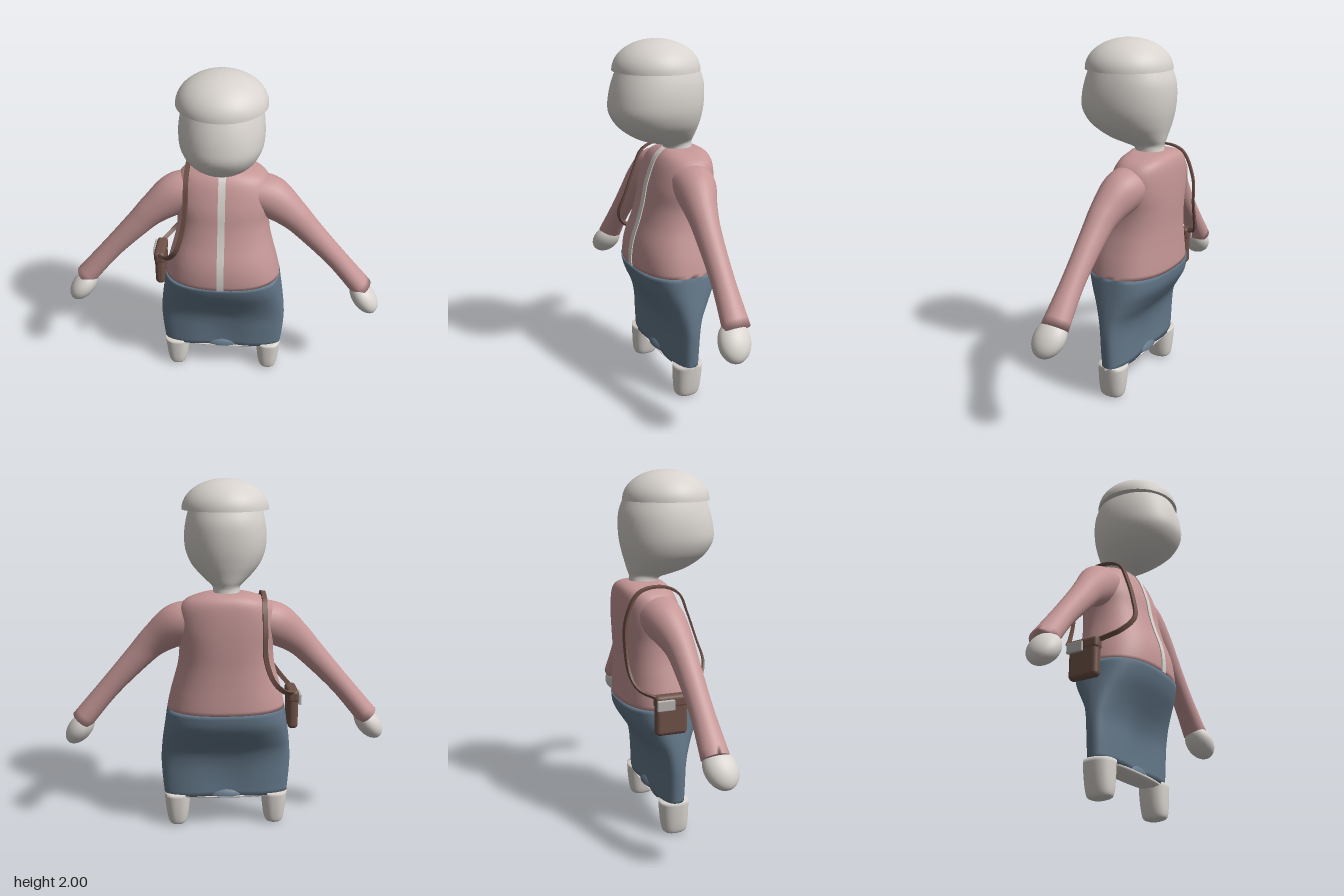
import * as THREE from 'three';
import { toCreasedNormals } from 'three/addons/utils/BufferGeometryUtils.js';
import { RoundedBoxGeometry } from 'three/addons/geometries/RoundedBoxGeometry.js';

const mat = (name, color) => {
  const m = new THREE.MeshStandardMaterial({ color });
  m.name = name;
  return m;
};

// Skin over a list of closed rings of points, with both ends capped
function loft(rings) {
  const n = rings[0].length, pos = rings.flat(2), index = [];
  for (let j = 0; j < rings.length - 1; j++) {
    for (let i = 0; i < n; i++) {
      const a = j * n + i, b = j * n + (i + 1) % n;
      index.push(a, a + n, b, b, a + n, b + n);
    }
  }
  const last = (rings.length - 1) * n;
  for (let i = 1; i < n - 1; i++) index.push(0, i, i + 1, last, last + i + 1, last + i);
  const g = new THREE.BufferGeometry();
  g.setAttribute('position', new THREE.Float32BufferAttribute(pos, 3));
  g.setIndex(index);
  g.computeVertexNormals();
  return g;
}

// Smooth sampling of rows of numbers, t counted in rows
function smoothRows(rows) {
  const f = new THREE.CubicInterpolant(rows.map((_, i) => i), rows.flat(), rows[0].length);
  return t => Array.from(f.evaluate(t));
}

// Level ring from [y, half width, front z, back z, pinch at the middle]
function levelRing([y, hx, zf, zb, pinch = 0], power = 2.3, cx = 0, n = 48) {
  const ring = [], e = 2 / power, cz = (zf + zb) / 2, hz = (zf - zb) / 2;
  for (let i = 0; i < n; i++) {
    const a = i / n * Math.PI * 2, c = Math.cos(a), s = Math.sin(a);
    const x = hx * Math.sign(c) * Math.abs(c) ** e;
    const z = hz * Math.sign(s) * Math.abs(s) ** e * (1 - pinch * Math.exp(-((x / 0.13) ** 2)));
    ring.push([cx + x, y, cz + z]);
  }
  return ring;
}

function levelRings(rows, from, to, power, cx) {
  const f = smoothRows(rows), out = [];
  for (let k = 0; k <= (to - from) * 4; k++) out.push(levelRing(f(from + k / 4), power, cx));
  return out;
}

export function createModel() {
  const group = new THREE.Group();
  const cream = mat('cream', 0xd8d3ce), pink = mat('pink', 0xc69797), blue = mat('slate blue', 0x64788a);
  const brown = mat('brown', 0x6e5147), grey = mat('clasp grey', 0xb5b1ad);
  const add = (name, geo, material) => {
    const m = new THREE.Mesh(geo, material);
    m.name = name;
    group.add(m);
    return m;
  };

  // Skirt and jacket share one body profile; the waist is row 6
  const body = [
    [0.19, 0.36, 0.045, -0.125, 0.25], [0.3, 0.37, 0.048, -0.127, 0.25], [0.4, 0.375, 0.052, -0.133, 0.15],
    [0.48, 0.371, 0.072, -0.155, 0.05], [0.56, 0.362, 0.108, -0.205, 0], [0.65, 0.348, 0.155, -0.26, 0],
    [0.735, 0.335, 0.18, -0.275, 0], [0.82, 0.317, 0.18, -0.275, 0], [0.9, 0.295, 0.165, -0.273, 0],
    [1.0, 0.27, 0.13, -0.273, 0], [1.1, 0.262, 0.102, -0.278, 0], [1.2, 0.275, 0.083, -0.28, 0],
    [1.3, 0.265, 0.05, -0.276, 0], [1.36, 0.225, 0.02, -0.265, 0], [1.39, 0.15, -0.01, -0.24, 0],
    [1.402, 0.08, -0.03, -0.2, 0],
  ];
  add('skirt', loft(levelRings(body, 0, 6, 2.6)), blue);
  add('jacket', loft(levelRings(body, 6, 15, 2.35)), pink);

  // Rounded bulge at the middle of the hem, and the pale underside
  const bulge = new THREE.SphereGeometry(1, 32, 10, 0, Math.PI * 2, 0, Math.PI / 2);
  bulge.scale(0.15, 0.06, 0.084).translate(0, 0.19, -0.04);
  add('hemBulge', bulge, blue);
  add('underside', loft([[0.168, 0.25, 0.01, -0.09], [0.18, 0.32, 0.035, -0.115], [0.191, 0.352, 0.041, -0.121]]
    .map(r => levelRing(r, 2.6))), cream);

  // Zip strip following the jacket front
  const bodyAt = smoothRows(body), zip = [];
  for (let t = 6; t <= 15; t += 0.25) {
    const [y, , z] = bodyAt(t), w = 0.02;
    zip.push([[w, y, z - 0.004], [w, y, z + 0.005], [-w, y, z + 0.005], [-w, y, z - 0.004]]);
  }
  add('zip', toCreasedNormals(loft(zip), 0.7), cream);

  // Head with neck
  const head = [
    [1.37, 0.078, -0.03, -0.2], [1.415, 0.072, -0.025, -0.192], [1.437, 0.083, 0.05, -0.195],
    [1.46, 0.112, 0.125, -0.203], [1.5, 0.155, 0.195, -0.213], [1.55, 0.195, 0.25, -0.226],
    [1.62, 0.222, 0.286, -0.24], [1.7, 0.227, 0.282, -0.246], [1.78, 0.217, 0.262, -0.24],
    [1.86, 0.195, 0.23, -0.21],
  ];
  add('head', loft(levelRings(head, 0, 9, 2.15)), cream);

  // Domed cap with a flat underside
  const dome = [new THREE.Vector2(0, 1.833)];
  for (let i = 0; i <= 16; i++) {
    const a = i / 16 * Math.PI / 2;
    dome.push(new THREE.Vector2(0.24 * Math.cos(a), 1.835 + 0.165 * Math.sin(a)));
  }
  const cap = toCreasedNormals(new THREE.LatheGeometry(dome, 48), 0.8);
  add('cap', cap.translate(0, 0, 0.02), cream);

  // Sleeve rows: x, y, z, half thickness, half depth
  const sleeve = smoothRows([
    [0.15, 1.265, -0.1, 0.095, 0.12], [0.27, 1.215, -0.09, 0.118, 0.115], [0.395, 1.125, -0.062, 0.09, 0.085],
    [0.485, 1.035, -0.05, 0.075, 0.071], [0.66, 0.845, -0.039, 0.061, 0.063], [0.825, 0.648, -0.03, 0.063, 0.075],
  ]);
  const leg = [
    [0, 0.03, 0, -0.075], [0.012, 0.05, 0.03, -0.1], [0.05, 0.061, 0.04, -0.111],
    [0.12, 0.07, 0.043, -0.119], [0.2, 0.077, 0.044, -0.123],
  ];
  for (const s of [1, -1]) {
    const side = s > 0 ? 'left' : 'right', rings = [];
    for (let k = 0; k <= 30; k++) {
      const t = k / 6, [x, y, z, r, w] = sleeve(t);
      const p = sleeve(Math.max(0, t - 0.05)), q = sleeve(Math.min(5, t + 0.05));
      const d = new THREE.Vector2(s * (q[0] - p[0]), q[1] - p[1]).normalize();
      rings.push(Array.from({ length: 28 }, (_, i) => {
        const a = i / 28 * Math.PI * 2, c = r * Math.cos(a);
        return [s * x + d.y * c, y - d.x * c, z + w * Math.sin(a)];
      }));
    }
    add(side + 'Sleeve', loft(rings), pink);

    // Mitten-like hand, broader toward the front
    const hand = new THREE.SphereGeometry(1, 28, 18);
    hand.scale(0.066, 0.112, 0.088).rotateX(-0.25).rotateZ(s * 0.68);
    add(side + 'Hand', hand.translate(s * 0.841, 0.592, -0.008), cream);

    add(side + 'Leg', loft(levelRings(leg, 0, 4, 2.4, s * 0.285)), cream);
  }

  // Shoulder strap: a flat band swept over the right shoulder
  const path = new THREE.CatmullRomCurve3([
    [-0.37, 0.83, 0], [-0.31, 0.89, 0.1], [-0.255, 0.97, 0.145], [-0.215, 1.1, 0.115], [-0.2, 1.24, 0.07],
    [-0.2, 1.35, 0.02], [-0.2, 1.393, -0.08], [-0.2, 1.365, -0.21], [-0.2, 1.22, -0.28], [-0.205, 1.06, -0.285],
    [-0.25, 0.93, -0.275], [-0.31, 0.865, -0.245], [-0.37, 0.83, -0.17],
  ].map(p => new THREE.Vector3(...p)));
  const strap = [], middle = new THREE.Vector3(-0.15, 1.08, -0.08);
  for (let k = 0; k <= 80; k++) {
    const p = path.getPointAt(k / 80), d = path.getTangentAt(k / 80);
    const n = p.clone().sub(middle);
    n.addScaledVector(d, -n.dot(d)).normalize();
    const e = n.clone().cross(d);
    strap.push([[1, 1], [-1, 1], [-1, -1], [1, -1]].map(([u, v]) =>
      p.clone().addScaledVector(n, u * 0.006).addScaledVector(e, v * 0.013).toArray()));
  }
  add('strap', toCreasedNormals(loft(strap), 0.7), brown);

  // Bag with flap and clasp
  add('bag', new RoundedBoxGeometry(0.058, 0.22, 0.18, 4, 0.025).translate(-0.373, 0.73, -0.09), brown);
  add('bagFlap', new RoundedBoxGeometry(0.064, 0.07, 0.186, 3, 0.02).translate(-0.373, 0.81, -0.09), brown);
  add('clasp', new RoundedBoxGeometry(0.018, 0.06, 0.1, 2, 0.006).translate(-0.41, 0.795, -0.13), grey);

  return group;
}
